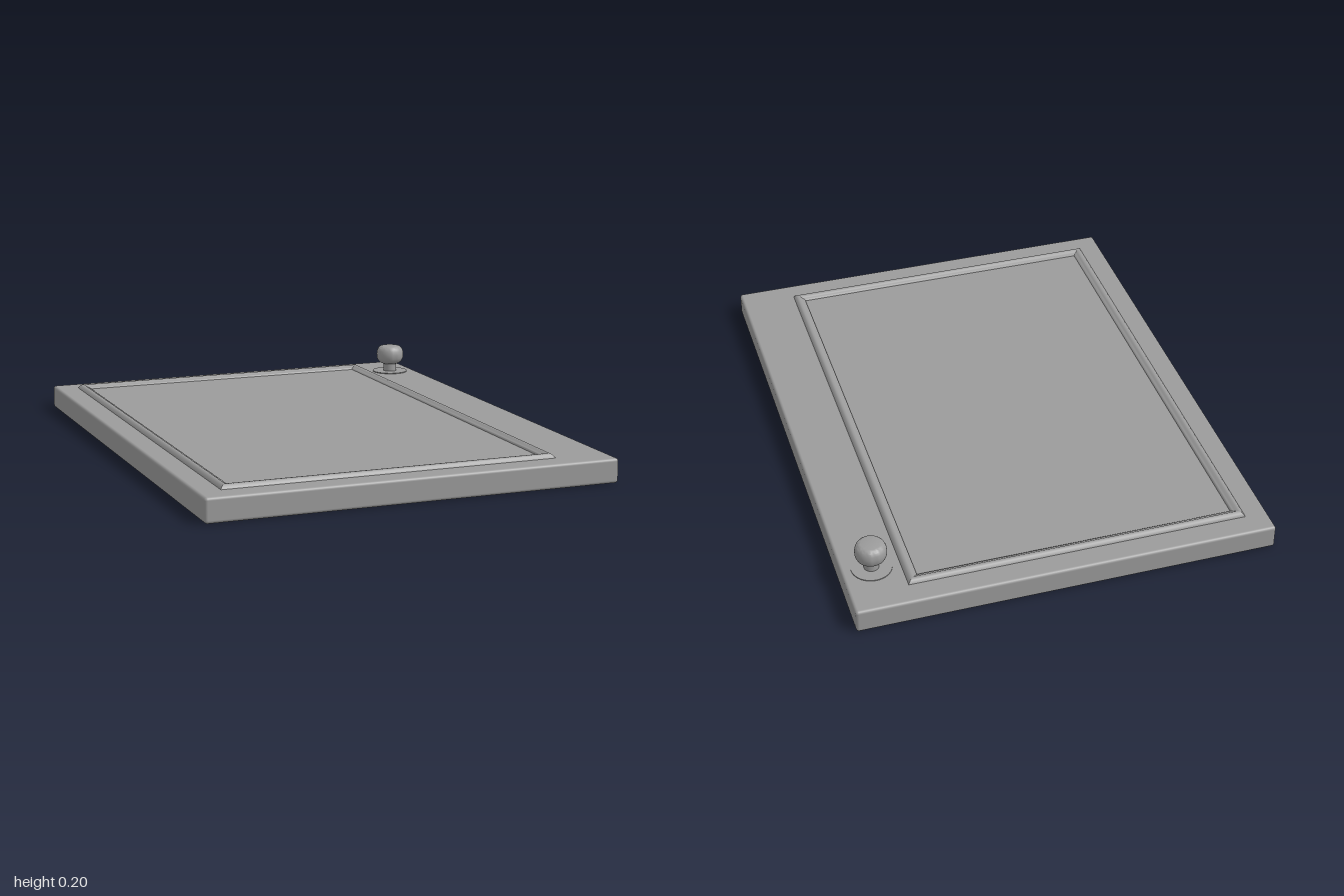
import * as THREE from 'three';
import { RoundedBoxGeometry } from 'three/addons/geometries/RoundedBoxGeometry.js';
import { toCreasedNormals } from 'three/addons/utils/BufferGeometryUtils.js';

const material = new THREE.MeshStandardMaterial({ color: 0x9b9b9b });
const TOP = 0.09;

function part(name, geometry, x = 0, y = 0, z = 0) {
  const mesh = new THREE.Mesh(geometry, material);
  mesh.name = name;
  mesh.position.set(x, y, z);
  return mesh;
}

// Sweeps a profile of [inset, height] points round a rectangle with mitred corners;
// each side is smooth along its profile and sharp at the mitres
function mitredFrame(x0, x1, z0, z1, profile) {
  const positions = [], index = [];
  const corner = (k, [inset, y]) => [
    k === 0 || k === 3 ? x0 + inset : x1 - inset,
    y,
    k < 2 ? z1 - inset : z0 + inset,
  ];
  for (let k = 0; k < 4; k++) {
    const start = positions.length / 3;
    profile.forEach((p, i) => {
      positions.push(...corner(k, p), ...corner((k + 1) % 4, p));
      if (i === 0) return;
      const a = start + 2 * (i - 1);
      index.push(a, a + 1, a + 3, a, a + 3, a + 2);
    });
  }
  const geometry = new THREE.BufferGeometry();
  geometry.setAttribute('position', new THREE.Float32BufferAttribute(positions, 3));
  geometry.setIndex(index);
  geometry.computeVertexNormals();
  return geometry;
}

function turned(points) {
  const profile = points.map(([r, y]) => new THREE.Vector2(r, y));
  return toCreasedNormals(new THREE.LatheGeometry(profile, 40), 0.7);
}

export function createModel() {
  const model = new THREE.Group();
  model.name = 'cabinetDoor';

  // Door slab with softened edges
  model.add(part('doorPanel', new RoundedBoxGeometry(1.54, TOP, 2, 3, 0.011), 0, TOP / 2, 0));

  // Raised moulding: a stepped outer slope, a narrow crown and a stepped inner slope
  model.add(part('moulding', mitredFrame(-0.686, 0.562, -0.915, 0.915, [
    [0, TOP - 0.002], [0.002, 0.094], [0.008, 0.101], [0.014, 0.105],
    [0.022, 0.105], [0.028, 0.1], [0.034, 0.097], [0.04, 0.095], [0.042, TOP - 0.002],
  ])));

  // Turned knob on its thin rosette
  const knob = new THREE.Group();
  knob.name = 'knob';
  knob.position.set(0.662, TOP, -0.788);
  knob.add(part('rosette', new THREE.CylinderGeometry(0.073, 0.073, 0.006, 40)));
  knob.add(part('knobStem', new THREE.CylinderGeometry(0.027, 0.027, 0.042, 32), 0, 0.02, 0));
  knob.add(part('knobHead', turned([
    [0, 0.034], [0.029, 0.034], [0.04, 0.038], [0.05, 0.047], [0.056, 0.06], [0.057, 0.076],
    [0.055, 0.09], [0.05, 0.101], [0.043, 0.108], [0.035, 0.11], [0, 0.11],
  ])));
  model.add(knob);
  return model;
}
